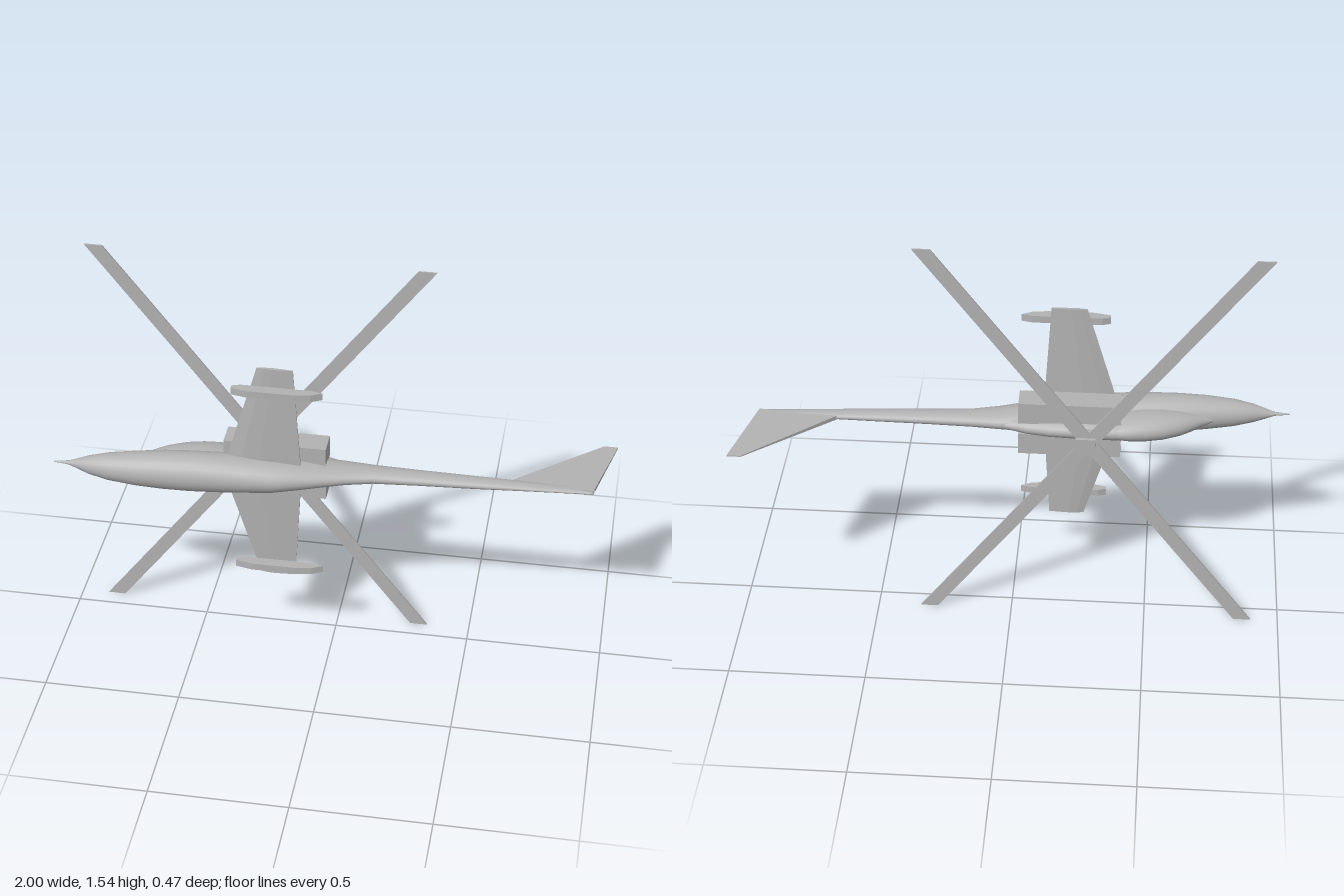
import * as THREE from 'three';

const grey = new THREE.MeshStandardMaterial({ color: 0xb2b2b2 });
grey.name = 'grey';
const CY = 0.773; // height of the long axis; the aircraft lies on its side, its roof towards -z

// Skin over equal rings of points, closed at both ends
function loft(rings, flat = false) {
  const n = rings[0].length, pos = [], idx = [];
  rings.forEach(r => r.forEach(p => pos.push(p[0], p[1], p[2])));
  for (let i = 0; i < rings.length - 1; i++)
    for (let j = 0; j < n; j++) {
      const k = (j + 1) % n, a = i * n, b = a + n;
      idx.push(a + j, a + k, b + j, a + k, b + k, b + j);
    }
  [[rings[0], true], [rings[rings.length - 1], false]].forEach(([ring, first]) => {
    const start = pos.length / 3;
    ring.forEach(p => pos.push(p[0], p[1], p[2]));
    for (let j = 1; j < n - 1; j++)
      idx.push(start, start + (first ? j + 1 : j), start + (first ? j : j + 1));
  });
  let g = new THREE.BufferGeometry();
  g.setAttribute('position', new THREE.Float32BufferAttribute(pos, 3));
  g.setIndex(idx);
  if (flat) g = g.toNonIndexed();
  g.computeVertexNormals();
  return g;
}

// Round body along x from stations [x, roof z, belly z, half width]
function body(stations, sides = 28) {
  return loft(stations.map(([x, top, bottom, w]) =>
    Array.from({ length: sides }, (_, j) => {
      const a = j / sides * Math.PI * 2;
      return [x, w * Math.cos(a), (top + bottom) / 2 + (bottom - top) / 2 * Math.sin(a)];
    })));
}

// Plate drawn in the x-z side plane, centred across y
function sidePlate(points, thickness) {
  const s = new THREE.Shape(points.map(([x, z]) => new THREE.Vector2(x, -z)));
  return new THREE.ExtrudeGeometry(s, { depth: thickness, bevelEnabled: false })
    .rotateX(-Math.PI / 2).translate(0, -thickness / 2, 0);
}

export function createModel() {
  const model = new THREE.Group();
  model.name = 'helicopter';
  const add = (name, geometry, x = 0, y = 0, z = 0) => {
    const m = new THREE.Mesh(geometry, grey);
    m.name = name;
    m.position.set(x, CY + y, z);
    model.add(m);
    return m;
  };

  // Hull with nose spike and tail boom
  add('fuselage', body([
    [-1, 0.173, 0.177, 0.002], [-0.945, 0.165, 0.183, 0.007], [-0.92, 0.157, 0.19, 0.016],
    [-0.87, 0.142, 0.207, 0.034], [-0.8, 0.123, 0.222, 0.05], [-0.7, 0.105, 0.231, 0.062],
    [-0.6, 0.09, 0.231, 0.07], [-0.5, 0.08, 0.227, 0.073], [-0.4, 0.07, 0.221, 0.071],
    [-0.3, 0.055, 0.215, 0.066], [-0.2, 0.04, 0.208, 0.059], [-0.12, 0.028, 0.187, 0.051],
    [-0.04, 0.018, 0.165, 0.041], [0.05, 0.018, 0.138, 0.032], [0.15, 0.024, 0.115, 0.026],
    [0.3, 0.027, 0.104, 0.022], [0.5, 0.029, 0.093, 0.018], [0.7, 0.03, 0.08, 0.012],
    [0.92, 0.03, 0.066, 0.006], [0.935, 0.038, 0.058, 0.003],
  ]));

  // Cockpit bubble
  add('canopy', body([
    [-0.72, 0.108, 0.116, 0.006], [-0.68, 0.085, 0.13, 0.022], [-0.64, 0.055, 0.14, 0.033],
    [-0.6, 0.03, 0.15, 0.042], [-0.54, 0.005, 0.155, 0.049], [-0.48, -0.009, 0.155, 0.051],
    [-0.42, -0.017, 0.15, 0.047], [-0.37, -0.018, 0.14, 0.039], [-0.33, -0.012, 0.12, 0.025],
  ]));

  // Engine deck behind the cockpit
  add('engineDeck', body([
    [-0.42, -0.012, 0.1, 0.034], [-0.37, -0.019, 0.11, 0.038], [-0.25, -0.02, 0.12, 0.039],
    [-0.13, -0.015, 0.12, 0.037], [-0.05, -0.003, 0.11, 0.032], [0.0, 0.01, 0.095, 0.025],
    [0.06, 0.025, 0.07, 0.012],
  ]));

  // Engine boxes and wing pods, mirrored
  for (const side of [1, -1]) {
    add(side > 0 ? 'upperEngine' : 'lowerEngine',
      new THREE.BoxGeometry(0.37, 0.084, 0.09), -0.205, side * 0.065, 0.055);
    add(side > 0 ? 'upperPod' : 'lowerPod', sidePlate([
      [-0.34, 0.165], [-0.31, 0.155], [-0.06, 0.155], [-0.02, 0.165],
      [-0.06, 0.185], [-0.12, 0.193], [-0.28, 0.193], [-0.34, 0.18]], 0.027), 0, side * 0.376, 0);
  }

  // Stub wings: one tapered span through the hull
  const section = [[0, 0], [0.2, 0.8], [0.45, 1], [1, 0.25], [1, -0.25], [0.45, -1], [0.2, -0.8]];
  const wing = [[-0.445, -0.258, -0.13, 0.006], [-0.07, -0.37, -0.108, 0.014],
    [0.07, -0.37, -0.108, 0.014], [0.445, -0.258, -0.13, 0.006]];
  add('wings', loft(wing.map(([y, front, back, t]) =>
    section.map(([u, v]) => [front + (back - front) * u, y, 0.124 + v * t]).reverse()).map(r => r.reverse()), true))
    .material = grey;

  // Tail fin, thinner towards its tip
  const fin = sidePlate([[0.64, 0.035], [0.95, -0.236], [1, -0.236], [0.93, 0.06]], 0.016);
  const p = fin.attributes.position;
  for (let i = 0; i < p.count; i++) p.setY(i, p.getY(i) * (p.getZ(i) < -0.1 ? 0.25 : 1));
  fin.computeVertexNormals();
  add('tailFin', fin);

  // Rotor mast and crossed blades with slanted tips
  const hubX = -0.279;
  add('rotorMast', new THREE.BoxGeometry(0.07, 0.045, 0.09), -0.267, 0, -0.033);
  for (const s of [1, -1]) {
    const pts = [[-0.588 - 0.032, -0.772], [-0.588 + 0.032, -0.772], [0.588 + 0.032, 0.772], [0.588 - 0.032, 0.772]];
    const shape = new THREE.Shape(pts.map(([x, y]) => new THREE.Vector2(x * s, y)));
    add(s > 0 ? 'bladePairA' : 'bladePairB',
      new THREE.ExtrudeGeometry(shape, { depth: 0.006, bevelEnabled: false }), hubX, 0, -0.066);
  }
  return model;
}
